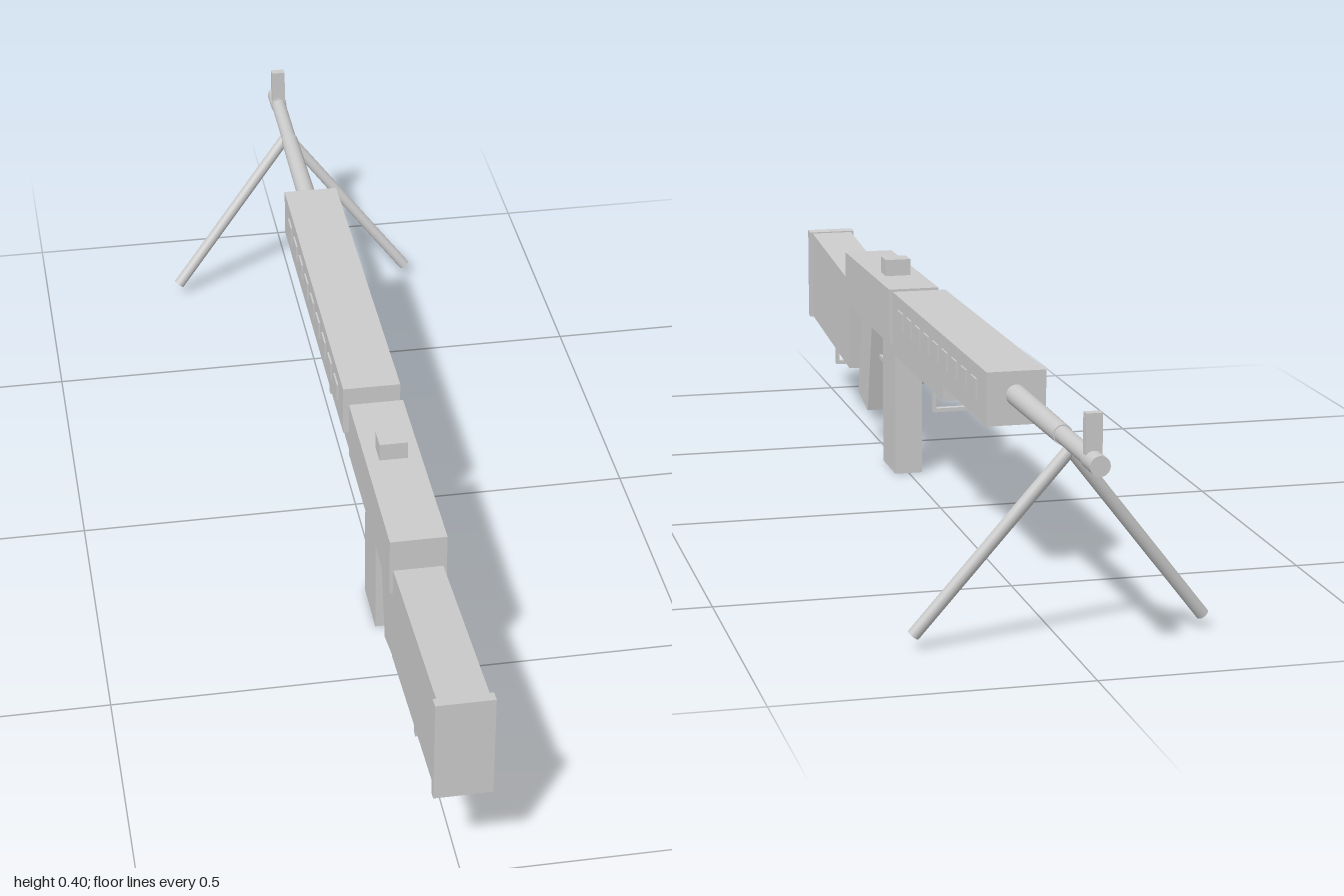
import * as THREE from 'three';

const material = new THREE.MeshStandardMaterial({ color: 0xcccccc });

export function createModel() {
  const model = new THREE.Group();
  model.name = 'machineGun';

  const add = (name, geometry, parent = model) => {
    const mesh = new THREE.Mesh(geometry, material);
    mesh.name = name;
    parent.add(mesh);
    return mesh;
  };

  // Box from its half width in x and its ranges in y and z
  const box = (name, halfW, y0, y1, z0, z1, x = 0, parent = model) => {
    const mesh = add(name, new THREE.BoxGeometry(2 * halfW, y1 - y0, z1 - z0), parent);
    mesh.position.set(x, (y0 + y1) / 2, (z0 + z1) / 2);
    return mesh;
  };

  // Side profile of [z, y] points, extruded across the width
  const slab = (name, halfW, points) => {
    const shape = new THREE.Shape(points.map(([z, y]) => new THREE.Vector2(z, y)));
    const geometry = new THREE.ExtrudeGeometry(shape, { depth: 2 * halfW, bevelEnabled: false });
    geometry.translate(0, 0, -halfW).rotateY(-Math.PI / 2);
    return add(name, geometry);
  };

  // Round bar between two points
  const rod = (name, a, b, rA, rB = rA, sides = 24) => {
    const from = new THREE.Vector3(...a), to = new THREE.Vector3(...b);
    const dir = to.clone().sub(from);
    const mesh = add(name, new THREE.CylinderGeometry(rB, rA, dir.length(), sides));
    mesh.position.copy(from).add(to).multiplyScalar(0.5);
    mesh.quaternion.setFromUnitVectors(new THREE.Vector3(0, 1, 0), dir.normalize());
    return mesh;
  };

  // Stock and butt plate
  slab('stock', 0.041, [[0.985, 0.163], [0.985, 0.341], [0.593, 0.307], [0.609, 0.13]]);
  slab('buttPlate', 0.047, [[1, 0.163], [1, 0.345], [0.98, 0.343], [0.984, 0.161]]);

  // Receiver, fore-end and handguard
  box('receiver', 0.047, 0.263, 0.366, 0.213, 0.613);
  box('foreEnd', 0.04, 0.244, 0.308, -0.185, 0.23);
  box('handguard', 0.05, 0.28, 0.37, -0.525, 0.17);

  // Vents along both sides of the handguard
  for (const side of [-1, 1]) {
    for (let i = 0; i < 9; i++) {
      const z = -0.445 + i * 0.068;
      box('vent', 0.002, 0.313, 0.346, z - 0.019, z + 0.019, side * 0.051);
    }
  }

  // Barrel and sights
  rod('barrelRear', [0, 0.33, -0.5], [0, 0.33, -0.8], 0.018, 0.016);
  rod('barrelFront', [0, 0.33, -0.8], [0, 0.33, -0.96], 0.014);
  rod('muzzle', [0, 0.33, -0.95], [0, 0.33, -1], 0.016);
  box('frontSight', 0.013, 0.335, 0.403, -0.967, -0.952);
  box('rearSight', 0.024, 0.36, 0.397, 0.345, 0.385);

  // Bipod
  for (const side of [-1, 1]) {
    rod('bipodLeg', [0, 0.318, -0.842], [side * 0.234, 0.023, -0.79], 0.0105);
  }

  // Magazine and grip
  box('magazine', 0.026, 0, 0.27, 0.258, 0.364);
  slab('grip', 0.031, [[0.53, 0.267], [0.57, 0.092], [0.484, 0.072], [0.442, 0.246]]);

  // Trigger and its guard
  box('guardBar', 0.013, 0.181, 0.189, 0.375, 0.462);
  box('guardPost', 0.013, 0.181, 0.232, 0.375, 0.383);
  box('trigger', 0.007, 0.195, 0.27, 0.432, 0.446);

  // Sling loops
  const slingLoop = (name, z, top, height) => {
    const loop = new THREE.Group();
    loop.name = name;
    model.add(loop);
    box('loopBase', 0.026, top - 0.008, top + 0.006, z - 0.011, z + 0.011, 0, loop);
    box('loopBar', 0.034, top - height, top - height + 0.007, z - 0.006, z + 0.006, 0, loop);
    for (const side of [-1, 1]) {
      box('loopSide', 0.003, top - height, top + 0.004, z - 0.006, z + 0.006, side * 0.031, loop);
    }
  };
  slingLoop('rearSlingLoop', 0.777, 0.147, 0.044);
  slingLoop('frontSlingLoop', -0.078, 0.244, 0.044);

  return model;
}
